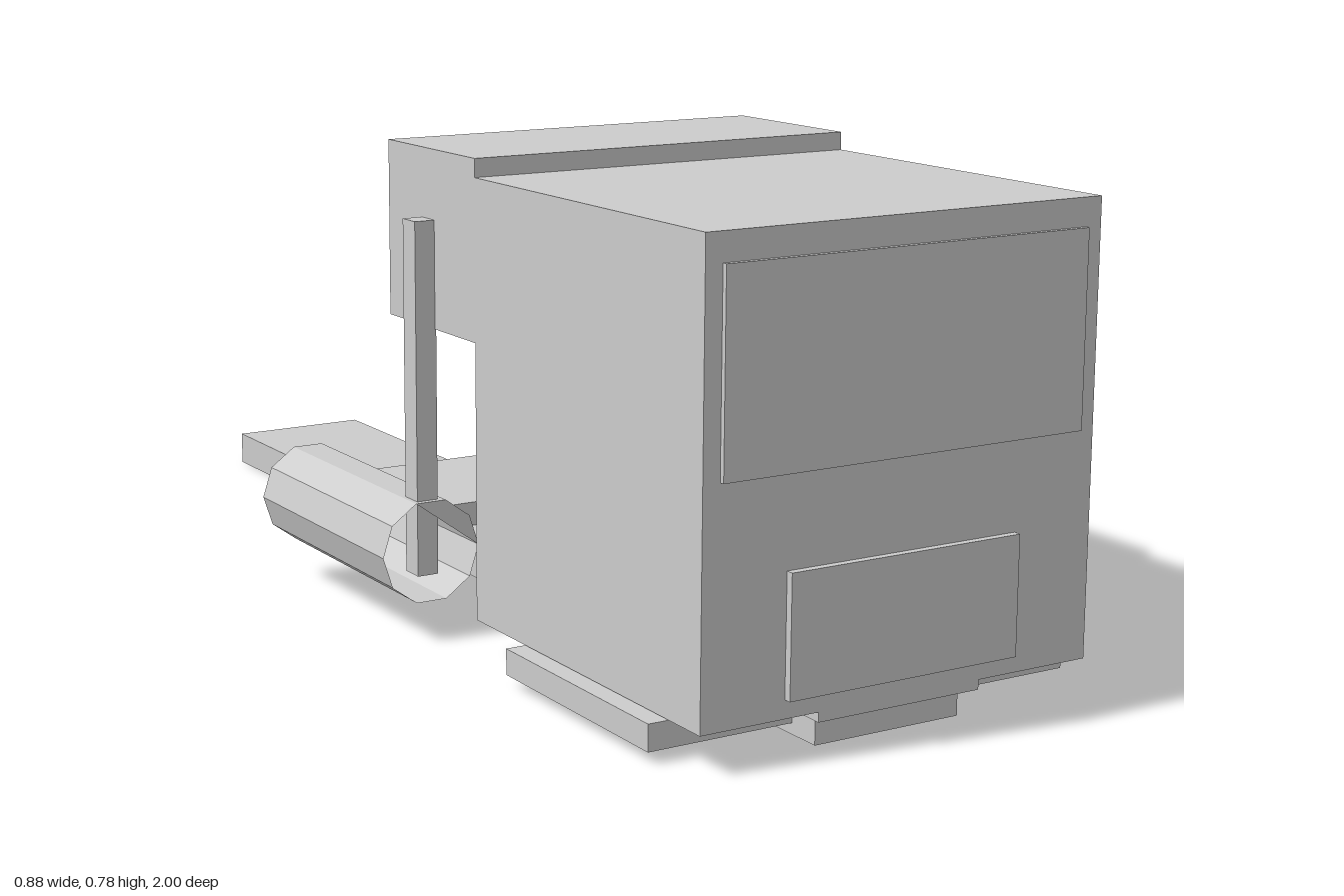
import * as THREE from 'three';

export function createModel() {
  const group = new THREE.Group();
  const grey = new THREE.MeshStandardMaterial({ color: 0xcccccc, flatShading: true, side: THREE.DoubleSide });

  const add = (name, geometry) => {
    const mesh = new THREE.Mesh(geometry, grey);
    mesh.name = name;
    group.add(mesh);
    return mesh;
  };
  // Box given by its limits on each axis
  const box = (name, x0, x1, y0, y1, z0, z1) =>
    add(name, new THREE.BoxGeometry(x1 - x0, y1 - y0, z1 - z0))
      .position.set((x0 + x1) / 2, (y0 + y1) / 2, (z0 + z1) / 2);

  // Frame and coupling plate
  box('chassis', -0.127, 0.127, 0, 0.058, -1, 0.96);
  box('couplingPlate', -0.167, 0.167, 0.058, 0.1, -0.445, -0.14);

  // Cab with raised rear box
  box('cab', -0.34, 0.34, 0.06, 0.75, 0.365, 0.988);
  box('rearBox', -0.34, 0.34, 0.497, 0.779, 0.083, 0.365);
  box('windscreen', -0.312, 0.312, 0.41, 0.707, 0.988, 0.996);
  box('grille', -0.2, 0.2, 0.088, 0.272, 0.988, 1);
  box('frontSill', -0.142, 0.142, 0.045, 0.06, 0.95, 0.988);

  // Ten-sided open tube, partly closed at its front end
  const radius = 0.085;
  const tube = new THREE.CylinderGeometry(radius, radius, 0.45, 10, 1, true, Math.PI / 2);
  tube.rotateX(Math.PI / 2);
  const corners = [0, 1, 2, 3].map((i) => {
    const a = (i * Math.PI) / 5;
    return new THREE.Vector2(Math.cos(a) * radius, Math.sin(a) * radius);
  });
  const endPlate = new THREE.ShapeGeometry(new THREE.Shape(corners));

  // Paired side parts
  for (const [side, s] of [['left', 1], ['right', -1]]) {
    const span = (a, b) => (s > 0 ? [a, b] : [-b, -a]);
    box(side + 'Step', ...span(0.12, 0.37), 0.017, 0.058, 0.51, 0.905);
    box(side + 'ExhaustPipe', ...span(0.338, 0.374), 0.102, 0.669, 0.195, 0.235);
    add(side + 'Tank', tube).position.set(s * 0.355, 0.143, 0.02);
    add(side + 'TankEndPlate', endPlate).position.set(s * 0.355, 0.143, 0.245);
  }
  return group;
}
